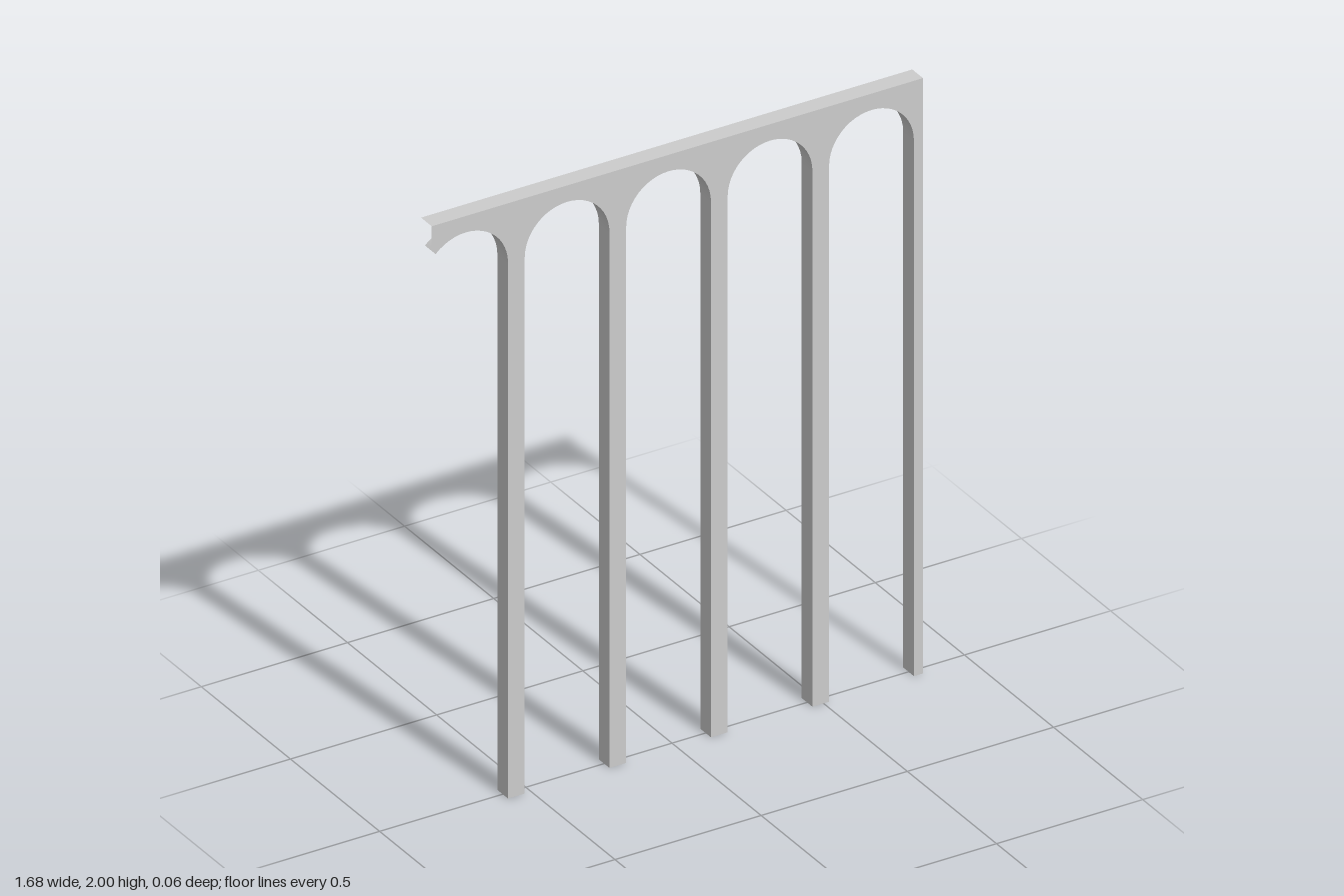
import * as THREE from 'three';

const HALF_LENGTH = 0.84;
const HEIGHT = 2;
const Z = 0.03; // half depth
const SPRING = 1.8; // height where the arches start
const RADIUS = 0.145;
const ARCH_SEGMENTS = 24;
const CENTRES = [-2, -1, 0, 1, 2].map((k) => -0.03 + k * 0.347);

// Points of an arch, running from angle a0 to a1
function arc(cx, a0, a1, segments) {
  return Array.from({ length: segments + 1 }, (_, i) => {
    const a = a0 + ((a1 - a0) * i) / segments;
    return [cx + RADIUS * Math.cos(a), SPRING + RADIUS * Math.sin(a)];
  });
}

// Open band following a path in the xy plane, spanning the full depth
function ribbon(path) {
  const positions = [];
  const index = [];
  path.forEach(([x, y], i) => {
    positions.push(x, y, Z, x, y, -Z);
    if (i > 0) {
      const a = 2 * (i - 1);
      index.push(a, a + 1, a + 2, a + 1, a + 3, a + 2);
    }
  });
  const geometry = new THREE.BufferGeometry();
  geometry.setAttribute('position', new THREE.Float32BufferAttribute(positions, 3));
  geometry.setIndex(index);
  geometry.computeVertexNormals();
  return geometry;
}

export function createModel() {
  const group = new THREE.Group();
  const material = new THREE.MeshStandardMaterial({ color: 0xcccccc, side: THREE.DoubleSide });
  const add = (name, geometry) => {
    const mesh = new THREE.Mesh(geometry, material);
    mesh.name = name;
    group.add(mesh);
  };

  // Openings: the first is a broken arch ending at 135 degrees, the rest are whole
  const openings = CENTRES.map((cx, i) => {
    if (i === 0) {
      return [[-HALF_LENGTH, 1.917], ...arc(cx, Math.PI * 0.75, 0, 18), [cx + RADIUS, 0]];
    }
    return [[cx - RADIUS, 0], ...arc(cx, Math.PI, 0, ARCH_SEGMENTS), [cx + RADIUS, 0]];
  });

  // Front face: one sheet with the pillars hanging between the openings
  const outline = [
    [-HALF_LENGTH, HEIGHT],
    ...openings.flat(),
    [HALF_LENGTH, 0],
    [HALF_LENGTH, HEIGHT],
  ].map(([x, y]) => new THREE.Vector2(x, y));
  const face = new THREE.ShapeGeometry(new THREE.Shape(outline));
  face.translate(0, 0, Z);
  add('frontFace', face);

  // Arch undersides and the pillar sides below them; the back stays open
  CENTRES.forEach((cx, i) => {
    const path = openings[i];
    const last = path.length - 1;
    add('archUnderside', ribbon(path.slice(1, last)));
    add(i === 0 ? 'brokenArchEnd' : 'pillarSide', ribbon(path.slice(0, 2)));
    add('pillarSide', ribbon(path.slice(last - 1)));
  });

  // Flat top
  add('top', ribbon([[-HALF_LENGTH, HEIGHT], [HALF_LENGTH, HEIGHT]].reverse()));

  return group;
}
